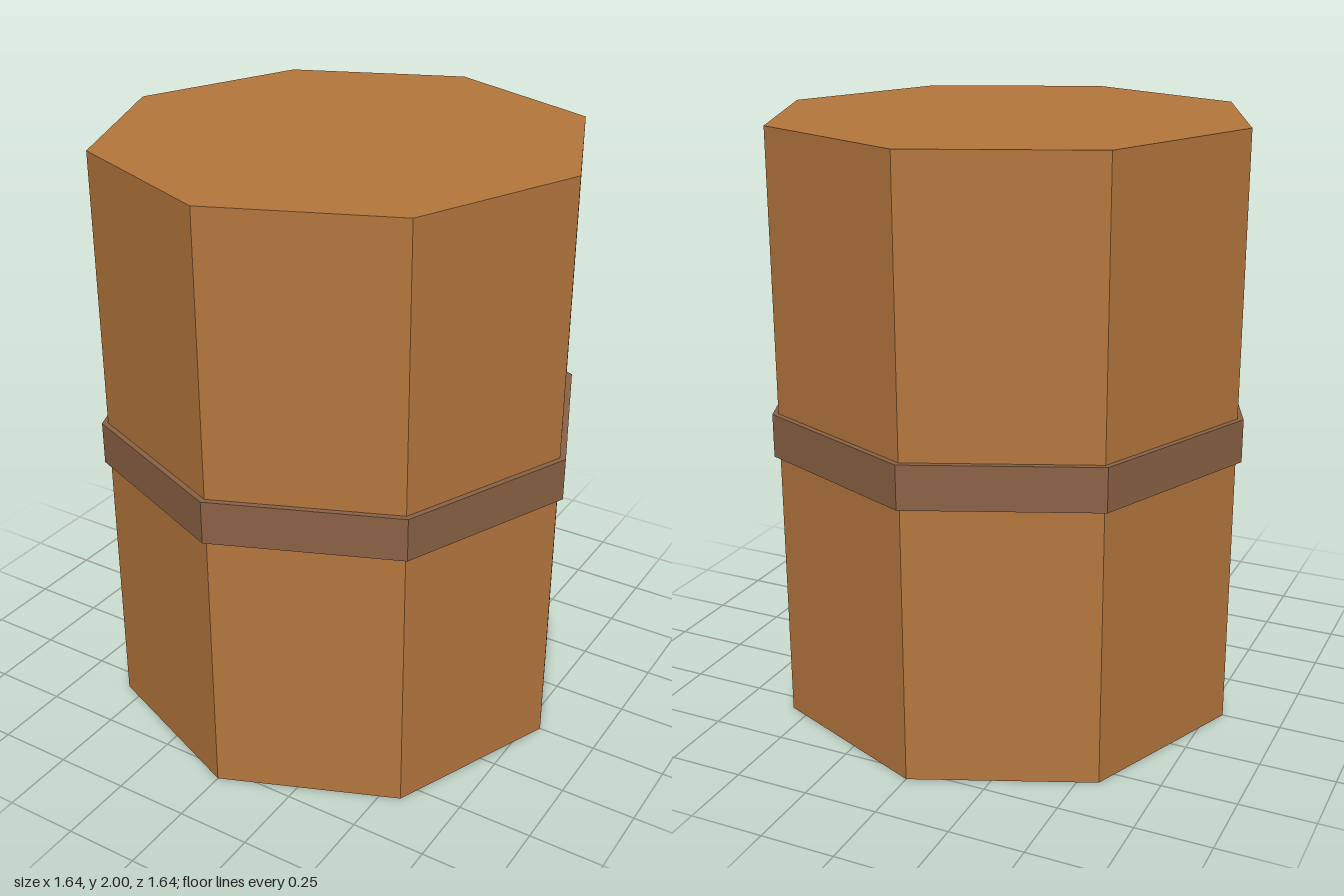
import * as THREE from 'three';

const SIDES = 8;

// Upright eight-sided prism with a corner facing the front
function prism(name, radius, bottom, top, color) {
  const geometry = new THREE.CylinderGeometry(radius, radius, top - bottom, SIDES);
  const material = new THREE.MeshStandardMaterial({ color, flatShading: true });
  const mesh = new THREE.Mesh(geometry, material);
  mesh.name = name;
  mesh.position.y = (bottom + top) / 2;
  return mesh;
}

export function createModel() {
  const group = new THREE.Group();
  group.name = 'bandedBarrel';

  // Wooden body
  group.add(prism('body', 0.8, 0, 2, 0xb5773d));

  // Raised band around the middle
  group.add(prism('band', 0.82, 0.93, 1.075, 0x8b6244));

  return group;
}
